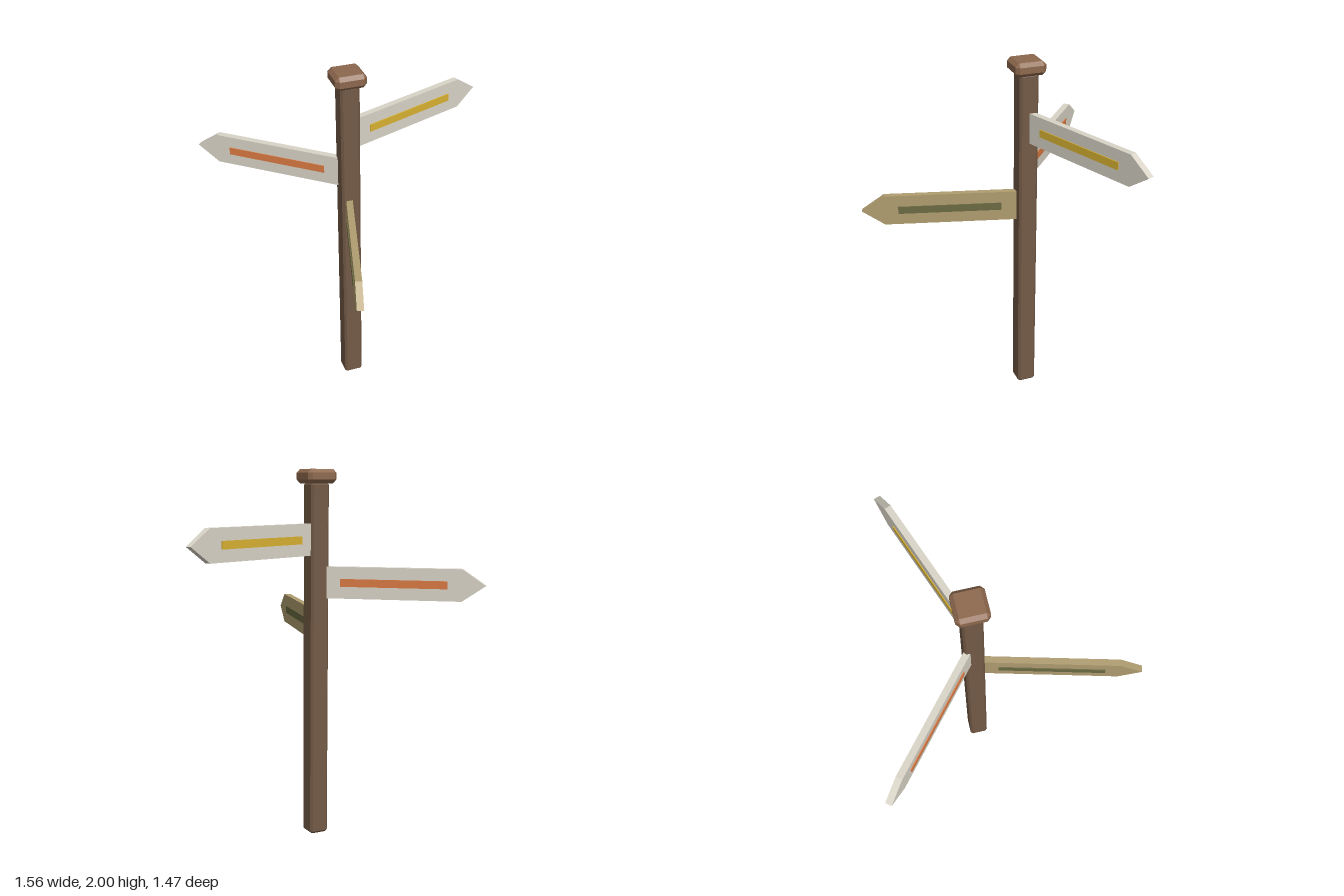
import * as THREE from 'three';
import { ConvexGeometry } from 'three/addons/geometries/ConvexGeometry.js';

const material = (name, color) => {
  const m = new THREE.MeshStandardMaterial({ color });
  m.name = name;
  return m;
};

// Box with every edge and corner cut by c, standing on y = 0
function chamferedBox(w, h, d, c) {
  const points = [];
  for (const sx of [-1, 1]) for (const sy of [-1, 1]) for (const sz of [-1, 1]) {
    for (let axis = 0; axis < 3; axis++) {
      const half = [w / 2, h / 2, d / 2].map((v, i) => (i === axis ? v : v - c));
      points.push(new THREE.Vector3(sx * half[0], sy * half[1] + h / 2, sz * half[2]));
    }
  }
  return new ConvexGeometry(points);
}

// Arrow-ended board running along +x from the post axis
function arrowBoard() {
  const start = 0.035, shoulder = 0.78, tip = 0.903, half = 0.085, thick = 0.036;
  const shape = new THREE.Shape([
    new THREE.Vector2(start, -half),
    new THREE.Vector2(shoulder, -half),
    new THREE.Vector2(tip, 0),
    new THREE.Vector2(shoulder, half),
    new THREE.Vector2(start, half),
  ]);
  return new THREE.ExtrudeGeometry(shape, { depth: thick, bevelEnabled: false })
    .translate(0, 0, -thick / 2);
}

export function createModel() {
  const group = new THREE.Group();
  group.name = 'signpost';

  const postWood = material('dark wood', 0x735a46);
  const capWood = material('cap wood', 0x8d684d);
  const cream = material('cream paint', 0xd9d4c7);
  const tan = material('tan paint', 0xb09d70);
  const yellow = material('yellow paint', 0xd9b232);
  const orange = material('orange paint', 0xda7a42);
  const olive = material('olive paint', 0x6b6b42);

  const add = (parent, name, geometry, mat) => {
    const mesh = new THREE.Mesh(geometry, mat);
    mesh.name = name;
    parent.add(mesh);
    return mesh;
  };

  // Post and cap stand off centre, since the boards reach out unevenly
  const pole = new THREE.Group();
  pole.name = 'pole';
  pole.position.set(-0.08, 0, -0.143);
  group.add(pole);
  add(pole, 'post', chamferedBox(0.106, 1.93, 0.106, 0.012), postWood);
  add(pole, 'cap', chamferedBox(0.17, 0.075, 0.17, 0.02), capWood).position.y = 1.925;

  // Three boards, each with a coloured strip showing on both faces
  const signs = [
    ['upperSign', 1.63, 20, cream, yellow],
    ['middleSign', 1.4, 140, cream, orange],
    ['lowerSign', 1.165, -105, tan, olive],
  ];
  for (const [name, y, degrees, boardPaint, stripPaint] of signs) {
    const sign = new THREE.Group();
    sign.name = name;
    sign.position.y = y;
    sign.rotation.y = THREE.MathUtils.degToRad(degrees);
    pole.add(sign);
    add(sign, 'board', arrowBoard(), boardPaint);
    add(sign, 'strip', new THREE.BoxGeometry(0.57, 0.042, 0.046), stripPaint).position.x = 0.42;
  }
  return group;
}
